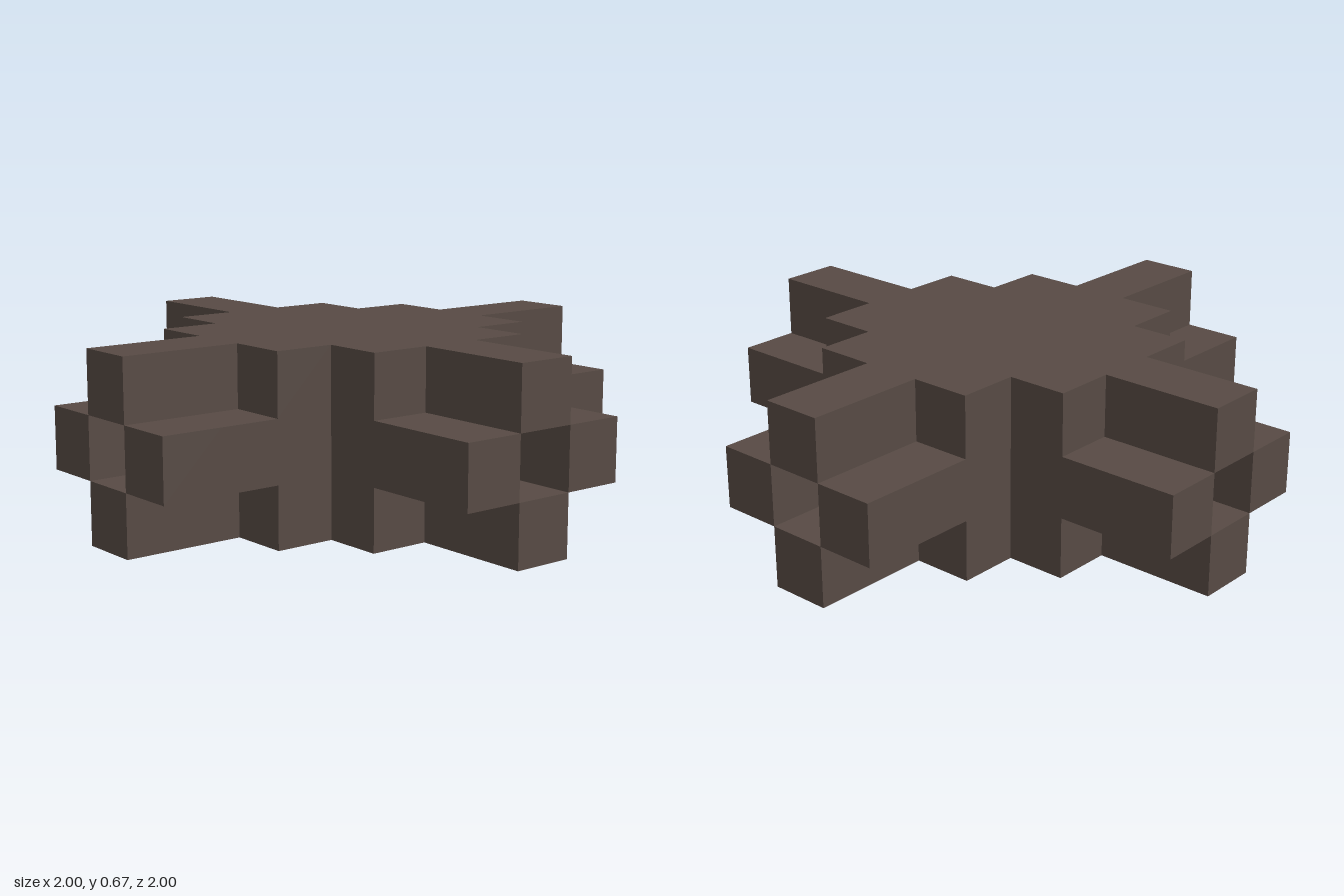
import * as THREE from 'three';
import { mergeGeometries } from 'three/addons/utils/BufferGeometryUtils.js';

const U = 2 / 9; // side of one cubic cell: the cross is 9 x 3 x 9 cells

// Cell layout, with i, j, k measured from the middle cell
function isSolid(i, j, k) {
  const a = Math.abs(i), b = Math.abs(k);
  if (Math.abs(j) > 1 || a > 4 || b > 4) return false;
  const near = Math.min(a, b), far = Math.max(a, b);
  // middle layer: four L-shaped walls around two crossing square tunnels
  if (j === 0) return near === 1;
  // top and bottom layers: wide shoulders, then single-cell bars
  return near === 0 || (near === 1 && far <= 2);
}

// Outward directions and the turn that brings a +z facing plane onto each
const H = Math.PI / 2;
const SIDES = [
  { d: [1, 0, 0], rx: 0, ry: H },
  { d: [-1, 0, 0], rx: 0, ry: -H },
  { d: [0, 1, 0], rx: -H, ry: 0 },
  { d: [0, -1, 0], rx: H, ry: 0 },
  { d: [0, 0, 1], rx: 0, ry: 0 },
  { d: [0, 0, -1], rx: 0, ry: Math.PI },
];

// Keep only the outer skin: a face is made where a solid cell meets an empty one
function buildShell() {
  const faces = [];
  for (let i = -4; i <= 4; i++)
    for (let j = -1; j <= 1; j++)
      for (let k = -4; k <= 4; k++) {
        if (!isSolid(i, j, k)) continue;
        for (const { d, rx, ry } of SIDES) {
          if (isSolid(i + d[0], j + d[1], k + d[2])) continue;
          faces.push(new THREE.PlaneGeometry(U, U).rotateX(rx).rotateY(ry).translate(
            (i + d[0] / 2) * U, (j + 1.5 + d[1] / 2) * U, (k + d[2] / 2) * U));
        }
      }
  return mergeGeometries(faces);
}

export function createModel() {
  const group = new THREE.Group();
  group.name = 'crossBlock';
  const darkBrown = new THREE.MeshStandardMaterial({ color: 0x574a44 });
  darkBrown.name = 'dark brown';
  const body = new THREE.Mesh(buildShell(), darkBrown);
  body.name = 'notchedCrossBody';
  group.add(body);
  return group;
}
